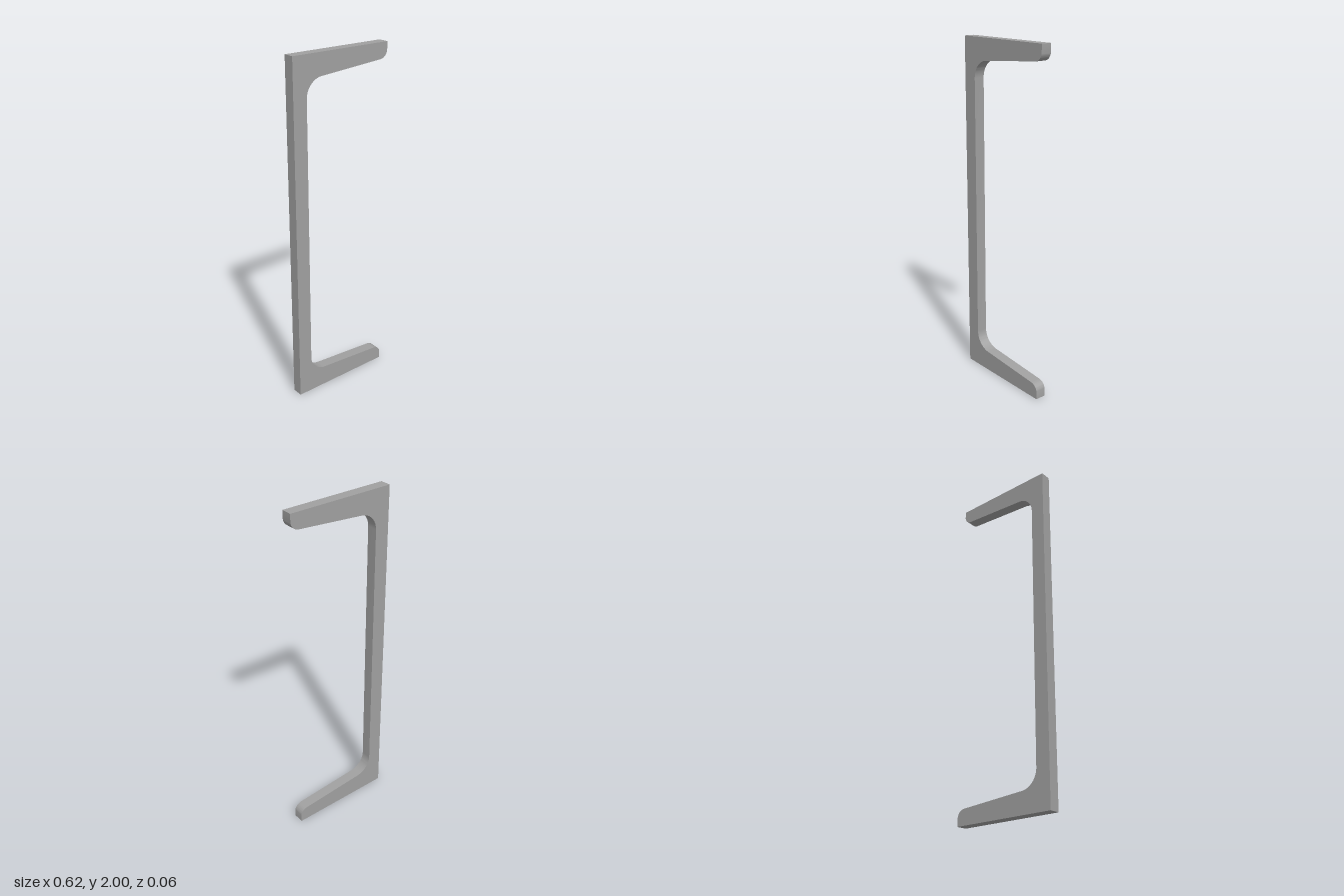
import * as THREE from 'three';
import { toCreasedNormals } from 'three/addons/utils/BufferGeometryUtils.js';

const HEIGHT = 2, HALF_WIDTH = 0.312, DEPTH = 0.063;
const WEB_X = -0.228;                 // inner face of the web
const SLOPE = 0.08, RISE = 0.1115;    // flange inner face: y = RISE - SLOPE * x
const ROOT_R = 0.105, TOE_R = 0.05;   // root fillet and rounded toe

// Points along an arc from angle a to angle b
function arc(cx, cy, r, a, b, steps = 16) {
  return Array.from({ length: steps + 1 }, (_, i) => {
    const t = a + (b - a) * i / steps;
    return new THREE.Vector2(cx + r * Math.cos(t), cy + r * Math.sin(t));
  });
}

// Tapered-flange channel outline; the upper half mirrors the lower
function channelShape() {
  const tilt = Math.atan(SLOPE), k = Math.hypot(1, SLOPE);
  const toeX = HALF_WIDTH - TOE_R, rootX = WEB_X + ROOT_R;
  const toeY = RISE - SLOPE * toeX - TOE_R * k;
  const rootY = RISE - SLOPE * rootX + ROOT_R * k;
  const lower = [
    new THREE.Vector2(-HALF_WIDTH, 0),
    new THREE.Vector2(HALF_WIDTH, 0),
    ...arc(toeX, toeY, TOE_R, 0, Math.PI / 2 - tilt),
    ...arc(rootX, rootY, ROOT_R, -Math.PI / 2 - tilt, -Math.PI),
  ];
  const upper = lower.map(p => new THREE.Vector2(p.x, HEIGHT - p.y)).reverse();
  return new THREE.Shape([...lower, ...upper]);
}

export function createModel() {
  const steel = new THREE.MeshStandardMaterial({ color: 0xa0a0a0 });
  steel.name = 'grey steel';

  const extruded = new THREE.ExtrudeGeometry(channelShape(), { depth: DEPTH, bevelEnabled: false });
  extruded.translate(0, 0, -DEPTH / 2);
  const channel = new THREE.Mesh(toCreasedNormals(extruded, Math.PI / 6), steel);
  channel.name = 'channelSection';

  const group = new THREE.Group();
  group.name = 'channelBeam';
  group.add(channel);
  return group;
}
